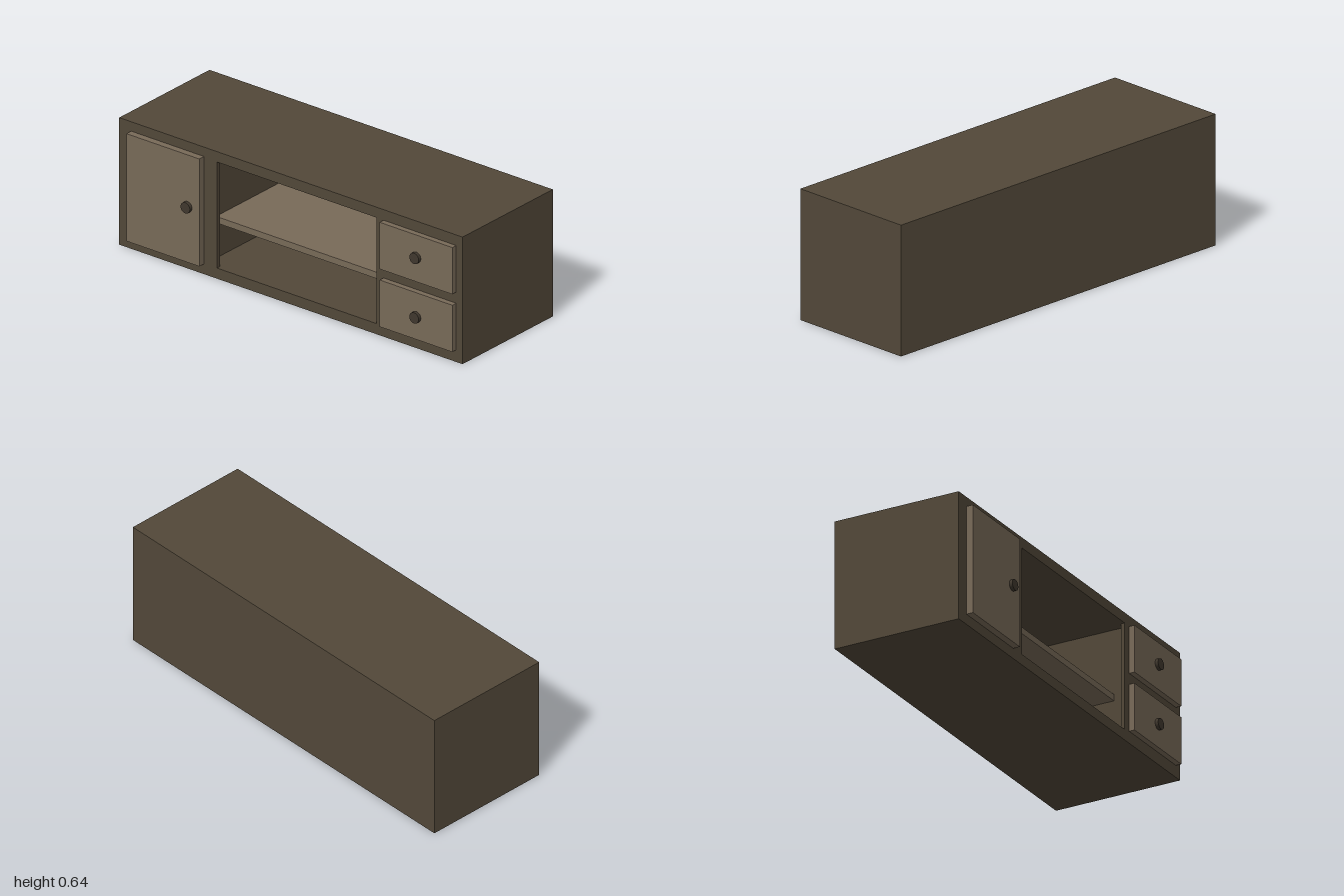
import * as THREE from 'three';

const BODY = new THREE.MeshStandardMaterial({ color: 0x524839 });
const PANEL = new THREE.MeshStandardMaterial({ color: 0x786a58 });
const KNOB = new THREE.MeshStandardMaterial({ color: 0x40382e });

const H = 0.636, BACK = -0.349, FRONT = 0.299, FRAME = 0.02;

// Box given by its extents on each axis
function slab(name, material, [x0, x1], [y0, y1], [z0, z1]) {
  const mesh = new THREE.Mesh(new THREE.BoxGeometry(x1 - x0, y1 - y0, z1 - z0), material);
  mesh.position.set((x0 + x1) / 2, (y0 + y1) / 2, (z0 + z1) / 2);
  mesh.name = name;
  return mesh;
}

// Round knob standing out from a front panel
function knob(name, x, y, z, length) {
  const geometry = new THREE.CylinderGeometry(0.027, 0.027, length, 32).rotateX(Math.PI / 2);
  const mesh = new THREE.Mesh(geometry, KNOB);
  mesh.position.set(x, y, z + length / 2);
  mesh.name = name;
  return mesh;
}

// Front board with the window of the open compartment
function frontFrame() {
  const shape = new THREE.Shape();
  shape.moveTo(-1, 0).lineTo(1, 0).lineTo(1, H).lineTo(-1, H).closePath();
  const hole = new THREE.Path();
  hole.moveTo(-0.43, 0.053).lineTo(-0.43, 0.584).lineTo(0.5, 0.584).lineTo(0.5, 0.053).closePath();
  shape.holes.push(hole);
  const geometry = new THREE.ExtrudeGeometry(shape, { depth: FRAME, bevelEnabled: false });
  const mesh = new THREE.Mesh(geometry, BODY);
  mesh.position.z = FRONT - FRAME;
  mesh.name = 'frontFrame';
  return mesh;
}

export function createModel() {
  const group = new THREE.Group();
  group.name = 'mediaCabinet';

  // Carcass behind the front frame
  const inner = [0.053, 0.584], depth = [BACK, FRONT - FRAME], inside = [BACK + 0.03, FRONT - FRAME];
  group.add(
    frontFrame(),
    slab('bottomBoard', BODY, [-1, 1], [0, inner[0]], depth),
    slab('topBoard', BODY, [-1, 1], [inner[1], H], depth),
    slab('backBoard', BODY, [-1, 1], inner, [BACK, BACK + 0.03]),
    slab('rightSide', BODY, [-1, -0.96], inner, inside),
    slab('leftSide', BODY, [0.96, 1], inner, inside),
    slab('rightDivider', BODY, [-0.54, -0.5], inner, inside),
    slab('leftDivider', BODY, [0.54, 0.58], inner, inside),
    slab('shelf', PANEL, [-0.5, 0.54], [0.23, 0.262], [BACK + 0.03, 0.22])
  );

  // Door
  group.add(
    slab('door', PANEL, [-0.93, -0.506], [0.051, 0.589], [FRONT, 0.333]),
    knob('doorKnob', -0.575, 0.329, 0.333, 0.016)
  );

  // Two drawers
  [['lower', 0.06], ['upper', 0.349]].forEach(([level, y]) => {
    group.add(
      slab(level + 'Drawer', PANEL, [0.54, 0.963], [y, y + 0.234], [FRONT, 0.327]),
      knob(level + 'DrawerKnob', 0.753, y + (level === 'lower' ? 0.113 : 0.122), 0.327, 0.016)
    );
  });

  return group;
}
